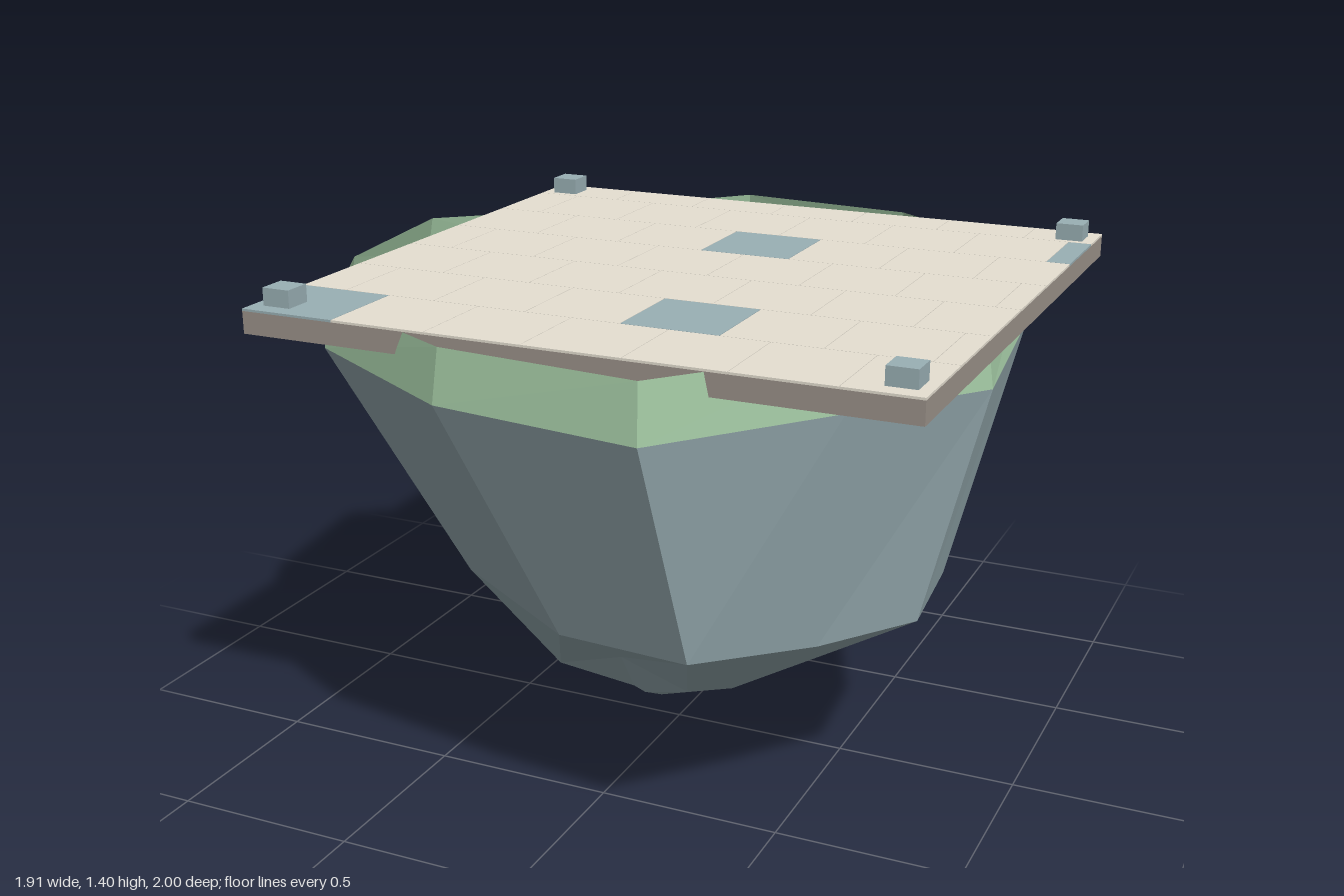
import * as THREE from 'three';

const mat = (name, color, extra = {}) => {
  const m = new THREE.MeshStandardMaterial({ color, ...extra });
  m.name = name;
  return m;
};

// Rings of twelve [x, y, z] corners, from the front round by the left side
const grassRing = [
  [0.35, 1.2, 1.0], [0.69, 1.205, 0.6], [0.935, 1.19, 0.23], [0.9, 1.245, -0.22],
  [0.75, 1.22, -0.65], [0.34, 1.22, -0.945], [-0.2, 1.2, -1.0], [-0.6, 1.21, -0.57],
  [-0.955, 1.23, -0.265], [-0.89, 1.205, 0.26], [-0.66, 1.23, 0.71], [-0.2, 1.21, 0.95]];
const middleRing = [
  [0.37, 0.58, 0.775], [0.59, 0.54, 0.47], [0.775, 0.545, 0.23], [0.75, 0.555, -0.08],
  [0.62, 0.56, -0.4], [0.3, 0.53, -0.63], [-0.05, 0.56, -0.56], [-0.26, 0.61, -0.37],
  [-0.52, 0.64, -0.18], [-0.545, 0.63, 0.06], [-0.34, 0.63, 0.58], [0, 0.57, 0.73]];
const lowerRing = [
  [0.15, 0.235, 0.28], [0.25, 0.23, 0.2], [0.29, 0.235, 0.05], [0.28, 0.24, -0.1],
  [0.19, 0.24, -0.24], [0.14, 0.26, -0.45], [-0.045, 0.26, -0.455], [-0.25, 0.22, -0.36],
  [-0.41, 0.2, -0.21], [-0.41, 0.2, -0.03], [-0.3, 0.185, 0.17], [-0.125, 0.22, 0.13]];
const rimRing = grassRing.map(([x, , z]) => [x * 0.974, 1.345, z * 0.974]);
const tipRing = lowerRing.map((_, i) => {
  const a = ((20 + i * 30) * Math.PI) / 180;
  return [-0.1 + 0.1 * Math.sin(a), 0.045, -0.12 + 0.11 * Math.cos(a)];
});
const tipPoint = lowerRing.map(() => [-0.1, 0, -0.125]);

// Faceted skin through rings listed from top to bottom
function skin(rings) {
  const pos = [];
  for (let r = 0; r + 1 < rings.length; r++) {
    const up = rings[r], low = rings[r + 1], n = up.length;
    for (let i = 0; i < n; i++) {
      const j = (i + 1) % n;
      pos.push(...low[i], ...up[j], ...up[i]);
      if (low !== tipPoint) pos.push(...low[i], ...low[j], ...up[j]);
    }
  }
  const geo = new THREE.BufferGeometry();
  geo.setAttribute('position', new THREE.Float32BufferAttribute(pos, 3));
  geo.computeVertexNormals();
  return geo;
}

export function createModel() {
  const model = new THREE.Group();
  model.name = 'floatingIsland';
  const faceted = { flatShading: true, side: THREE.DoubleSide };
  const rock = mat('rock', 0x97acb1, faceted);
  const grass = mat('grass', 0x9fc4a0, faceted);
  const stone = mat('slabStone', 0x9b928a);
  const paving = mat('paleTile', 0xe6e0d2);
  const slate = mat('slateTile', 0x9ab0b5);

  const add = (parent, name, geo, material) => {
    const mesh = new THREE.Mesh(geo, material);
    mesh.name = name;
    parent.add(mesh);
    return mesh;
  };
  // Box given by its limits on each axis
  const box = (parent, name, material, x0, x1, y0, y1, z0, z1) =>
    add(parent, name, new THREE.BoxGeometry(x1 - x0, y1 - y0, z1 - z0), material)
      .position.set((x0 + x1) / 2, (y0 + y1) / 2, (z0 + z1) / 2);

  // Hollow rock with a grassy rim
  add(model, 'rockBody', skin([grassRing, middleRing, lowerRing, tipRing, tipPoint]), rock);
  add(model, 'grassRim', skin([rimRing, grassRing]), grass);

  // Platform slab
  const X0 = -0.795, X1 = 0.953, Z0 = -0.842, Z1 = 0.853, size = 0.259;
  box(model, 'platformSlab', stone, X0, X1, 1.288, 1.346, Z0, Z1);

  // Paving in running bond, cut off at the slab edges
  const tiles = new THREE.Group();
  tiles.name = 'paving';
  model.add(tiles);
  const slateTiles = ['1,7', '2,3', '5,4', '6,0'];
  const gap = 0.0008;
  for (let row = 0; row < 7; row++) {
    const z1 = Z1 - (6 - row) * size;
    const z0 = Math.max(Z0, z1 - size);
    const shift = row % 2 ? size / 2 : 0;
    for (let col = 0; col < 8; col++) {
      const left = X0 + col * size - shift;
      const x0 = Math.max(X0, left), x1 = Math.min(X1, left + size);
      if (x1 - x0 < 0.01) continue;
      const isSlate = slateTiles.includes(`${row},${col}`);
      box(tiles, isSlate ? 'slateTile' : 'paleTile', isSlate ? slate : paving,
        x0 + (x0 > X0 ? gap : 0), x1 - (x1 < X1 ? gap : 0), 1.346, 1.352,
        z0 + (z0 > Z0 ? gap : 0), z1 - (z1 < Z1 ? gap : 0));
    }
  }

  // Corner blocks
  for (const x of [-0.725, 0.884])
    for (const z of [-0.76, 0.77])
      box(model, 'cornerBlock', slate, x - 0.038, x + 0.038, 1.35, 1.398, z - 0.038, z + 0.038);

  return model;
}
